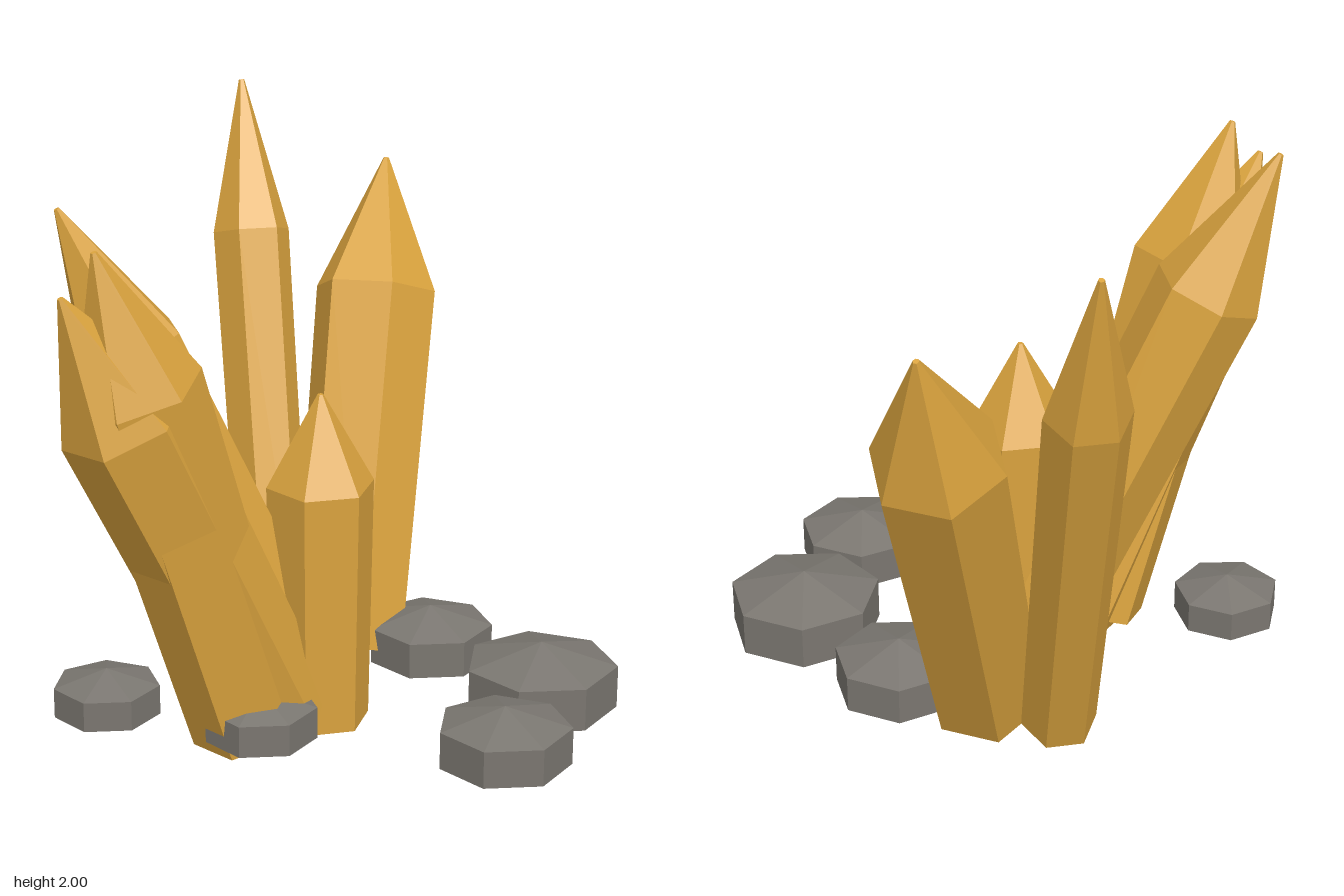
import * as THREE from 'three';

const amber = new THREE.MeshStandardMaterial({ color: 0xdaa33e, flatShading: true });
amber.name = 'amber crystal';
const stone = new THREE.MeshStandardMaterial({ color: 0x7a7670, flatShading: true });
stone.name = 'grey stone';

const UP = new THREE.Vector3(0, 1, 0);

// Revolves a [radius, height] profile into a faceted solid
function faceted(profile, sides, start) {
  const points = profile.map(([r, y]) => new THREE.Vector2(r, y));
  return new THREE.LatheGeometry(points, sides, start);
}

// Six-sided crystal from the centre of its base to its tip
function crystal(name, base, tip, radius, start) {
  const from = new THREE.Vector3(...base);
  const axis = new THREE.Vector3(...tip).sub(from);
  const length = axis.length();
  const profile = [
    [0, 0], [radius * 0.92, 0], [radius, length * 0.73], [0.01, length], [0, length],
  ];
  const mesh = new THREE.Mesh(faceted(profile, 6, start), amber);
  mesh.name = name;
  mesh.position.copy(from);
  mesh.quaternion.setFromUnitVectors(UP, axis.normalize());
  return mesh;
}

// Seven-sided flattened rock with shallow points above and below
function rock(name, center, radius, halfHeight) {
  const h = halfHeight;
  const profile = [[0, -h], [radius, -h / 2], [radius, h / 2], [0, h]];
  const mesh = new THREE.Mesh(faceted(profile, 7, Math.PI), stone);
  mesh.name = name;
  mesh.position.set(...center);
  return mesh;
}

export function createModel() {
  const model = new THREE.Group();
  model.name = 'crystalCluster';

  // Crystals; the last value turns either an edge or a face to the front
  const EDGE = 0, FACE = Math.PI / 2;
  model.add(
    crystal('centreCrystal', [0.05, 0.04, 0.035], [0.05, 1.2, 0.035], 0.184, FACE),
    crystal('tallBackCrystal', [-0.465, 0.09, -0.24], [-1.0, 2.0, -0.57], 0.138, FACE),
    crystal('wideBackCrystal', [-0.2, 0.1, -0.33], [-0.62, 1.72, -0.93], 0.22, EDGE),
    crystal('leaningFrontCrystal', [0, 0.09, 0.02], [-0.45, 1.85, 0.71], 0.185, EDGE),
    crystal('middleFrontCrystal', [0.01, 0.09, 0.33], [-0.08, 1.81, 0.86], 0.21, FACE),
    crystal('shortFrontCrystal', [0.02, 0.1, 0.21], [-0.11, 1.68, 0.97], 0.215, FACE),
  );

  // Rocks scattered around the crystals
  model.add(
    rock('largeRock', [0.55, 0.155, -0.528], 0.262, 0.15),
    rock('sideRock', [0.78, 0.155, -0.097], 0.223, 0.128),
    rock('backRock', [0.03, 0.155, -0.52], 0.22, 0.127),
    rock('nearRock', [0.095, 0.145, 0.35], 0.19, 0.11),
    rock('frontRock', [-0.375, 0.157, 0.623], 0.182, 0.104),
  );
  return model;
}
